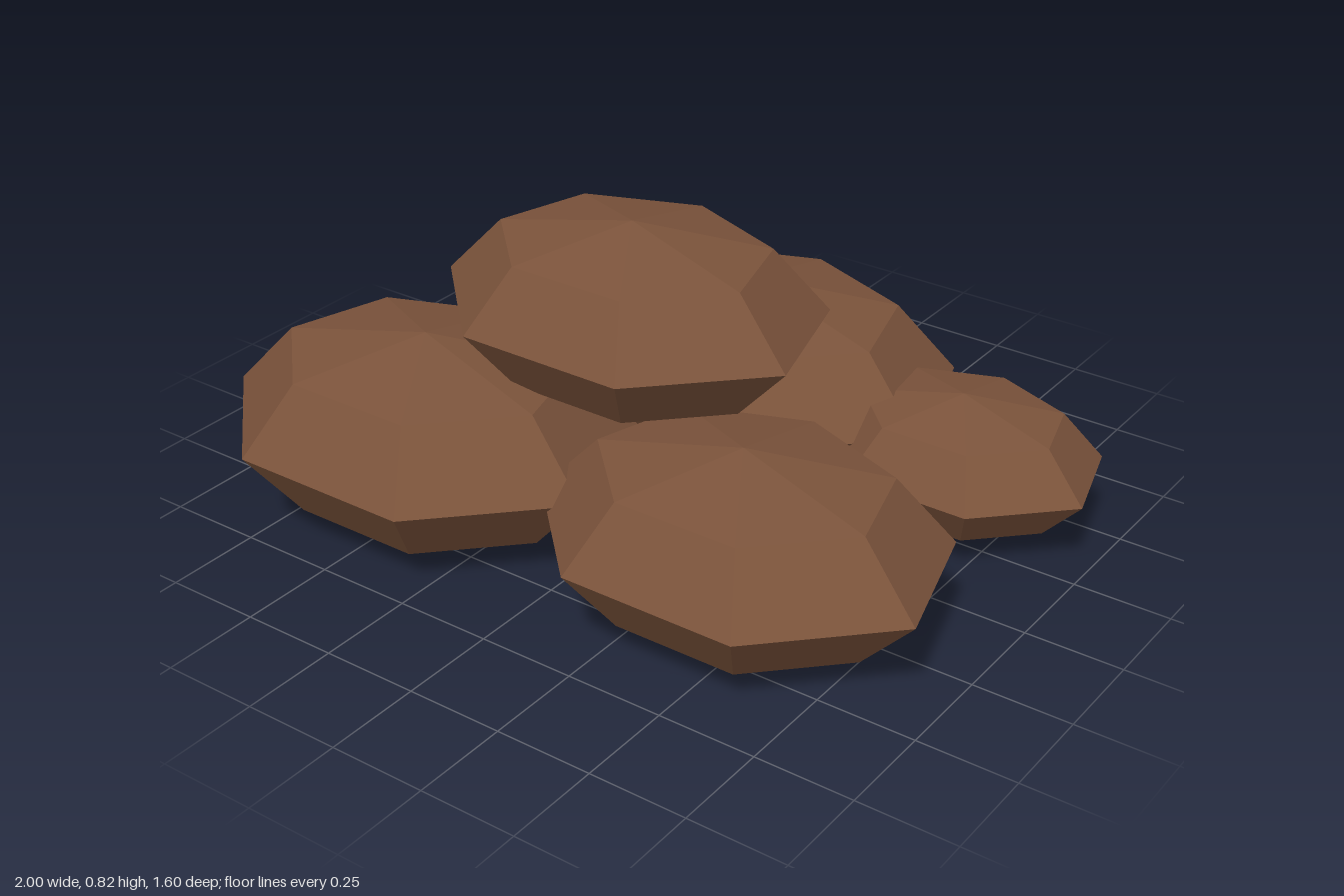
import * as THREE from 'three';

export function createModel() {
  const group = new THREE.Group();
  group.name = 'stonePile';

  const brown = new THREE.MeshStandardMaterial({ color: 0x7b533b });
  brown.name = 'earthBrown';

  // Seven-sided faceted lump with one corner pointing backwards
  const unit = new THREE.SphereGeometry(1, 7, 4, -Math.PI / 2).toNonIndexed();

  function addStone(name, centre, radii) {
    const geometry = unit.clone().scale(...radii);
    geometry.computeVertexNormals(); // flat facets
    const stone = new THREE.Mesh(geometry, brown);
    stone.name = name;
    stone.position.set(...centre);
    group.add(stone);
  }

  // Three large stones at the base, a small one beside them, one on top
  addStone('frontRightStone', [-0.455, 0.265, 0.395], [0.56, 0.247, 0.449]);
  addStone('frontLeftStone', [0.453, 0.25, 0.364], [0.522, 0.23, 0.418]);
  addStone('backStone', [0, 0.25, -0.355], [0.562, 0.249, 0.45]);
  addStone('smallStone', [0.632, 0.205, -0.328], [0.374, 0.165, 0.298]);
  addStone('topStone', [-0.03, 0.6, 0.125], [0.507, 0.22, 0.405]);

  return group;
}
